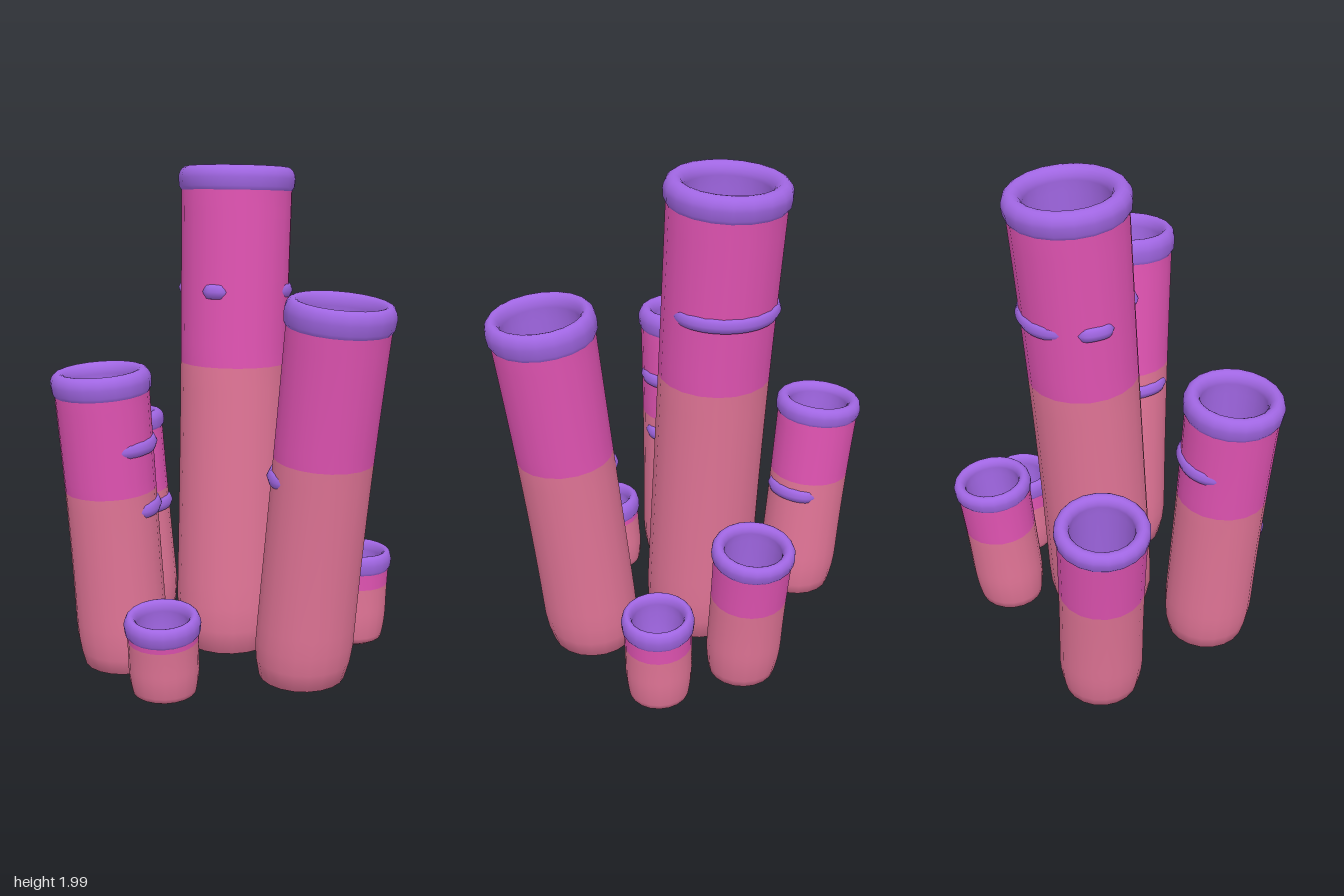
import * as THREE from 'three';
import { mergeVertices } from 'three/addons/utils/BufferGeometryUtils.js';

const material = (name, color) => {
  const m = new THREE.MeshStandardMaterial({ color });
  m.name = name;
  return m;
};

// base and top are [x, z] centres; R = rim radius, ri = mouth radius, h = height,
// split = where the upper colour starts, rim = rim height,
// rings = [height, start degrees, end degrees] measured from +x towards +z
const TUBES = [
  { name: 'centreTube', base: [0.01, -0.085], top: [0.012, -0.21], R: 0.236, ri: 0.16, h: 1.99, split: 1.21, rim: 0.095,
    rings: [[1.505, 25, -144], [1.505, -160, -190], [1.505, 91, 107]] },
  { name: 'rightFrontTube', base: [0.375, 0.2], top: [0.515, 0.28], R: 0.206, ri: 0.147, h: 1.53, split: 0.93, rim: 0.1,
    rings: [[0.85, 132, 238]] },
  { name: 'leftFrontTube', base: [-0.35, 0.235], top: [-0.414, 0.275], R: 0.195, ri: 0.13, h: 1.235, split: 0.76, rim: 0.09,
    rings: [[0.94, 62, -146], [0.69, 30, -45]] },
  { name: 'leftBackTube', base: [-0.45, -0.31], top: [-0.54, -0.34], R: 0.18, ri: 0.122, h: 0.925, split: 0.58, rim: 0.075,
    rings: [[0.52, 55, -40]] },
  { name: 'rightBackTube', base: [0.215, -0.435], top: [0.236, -0.49], R: 0.162, ri: 0.112, h: 0.655, split: 0.41, rim: 0.07, rings: [] },
  { name: 'smallRightTube', base: [0.522, -0.24], top: [0.532, -0.245], R: 0.142, ri: 0.1, h: 0.415, split: 0.27, rim: 0.08, rings: [] },
  { name: 'smallFrontTube', base: [-0.11, 0.465], top: [-0.108, 0.495], R: 0.147, ri: 0.1, h: 0.35, split: 0.25, rim: 0.08, rings: [] },
];

// outer wall radius: rounded foot, slight waist, flare to the rim
function wallRadius(t, y) {
  const foot = Math.min(0.2, t.h * 0.4);
  const k = Math.max(0, 1 - y / foot);
  return t.R * (0.95 - 0.03 * Math.sin(Math.PI * y / t.h)) * (1 - 0.18 * k * k);
}

// lean the upright tube along its curved axis and tip its cross-sections with it
function bend(t, p) {
  const u = Math.max(0, p.y / t.h);
  const dx = t.top[0] - t.base[0], dz = t.top[1] - t.base[1];
  const s = Math.pow(u, 1.15);
  const tip = (p.x * dx + p.z * dz) / t.h * Math.min(1, u);
  return p.set(p.x + t.base[0] + dx * s, p.y - tip, p.z + t.base[1] + dz * s);
}

// lathe a profile of [radius, height] pairs, then bend it
function bentLathe(t, profile) {
  let g = new THREE.LatheGeometry(profile.map(([r, y]) => new THREE.Vector2(r, y)), 20);
  g.deleteAttribute('uv');
  g.deleteAttribute('normal');
  const pos = g.attributes.position, v = new THREE.Vector3();
  for (let i = 0; i < pos.count; i++) {
    bend(t, v.fromBufferAttribute(pos, i));
    pos.setXYZ(i, v.x, v.y, v.z);
  }
  g = mergeVertices(g, 1e-5);
  g.computeVertexNormals();
  return g;
}

const wall = (t, from, to, n) => Array.from({ length: n + 1 }, (_, i) => {
  const y = from + (to - from) * i / n;
  return [wallRadius(t, y), y];
});

// raised growth ring whose ends sink into the wall
function ringGeometry(t, [y, a0, a1]) {
  const n = 14, pts = [];
  for (let i = 0; i <= n; i++) {
    const a = THREE.MathUtils.degToRad(a0 + (a1 - a0) * i / n);
    const edge = Math.pow(Math.abs(2 * i / n - 1), 6);
    const r = wallRadius(t, y) - 0.02 - 0.03 * edge;
    pts.push(bend(t, new THREE.Vector3(r * Math.cos(a), y, r * Math.sin(a))));
  }
  return new THREE.TubeGeometry(new THREE.CatmullRomCurve3(pts), 28, 0.036, 8);
}

export function createModel() {
  const pink = material('pink', 0xe07496);
  const magenta = material('magenta', 0xe053b2);
  const purple = material('purple', 0xa066e2);
  const model = new THREE.Group();
  model.name = 'tubeCluster';

  for (const t of TUBES) {
    const group = new THREE.Group();
    group.name = t.name;
    const add = (name, geometry, mat) => {
      const mesh = new THREE.Mesh(geometry, mat);
      mesh.name = name;
      group.add(mesh);
    };
    const seam = t.h - t.rim;

    // lower wall with closed, rounded foot
    add('lowerWall', bentLathe(t, [[0, 0.01], [t.R * 0.62, 0.012], ...wall(t, 0.03, t.split, 12)]), pink);
    add('upperWall', bentLathe(t, wall(t, t.split, seam, 8)), magenta);

    // rolled rim, rounded over from the outer wall to the mouth
    const mid = (t.R + t.ri) / 2, half = (t.R - t.ri) / 2, rise = t.rim * 0.5;
    const rim = [[wallRadius(t, seam), seam], [t.R * 0.985, seam + t.rim * 0.15]];
    for (let i = 0; i <= 10; i++) {
      const a = Math.PI * i / 10;
      rim.push([mid + half * Math.cos(a), t.h - rise + rise * Math.sin(a)]);
    }
    // hollow inside with a floor
    const floor = t.h * 0.4;
    rim.push([t.ri * 1.02, t.h - t.rim], [t.ri * 0.95, (t.h + floor) / 2],
      [t.ri * 0.88, floor + 0.03], [t.ri * 0.7, floor], [0, floor]);
    add('rimAndHollow', bentLathe(t, rim), purple);

    t.rings.forEach((ring) => add('growthRing', ringGeometry(t, ring), purple));
    model.add(group);
  }
  return model;
}
